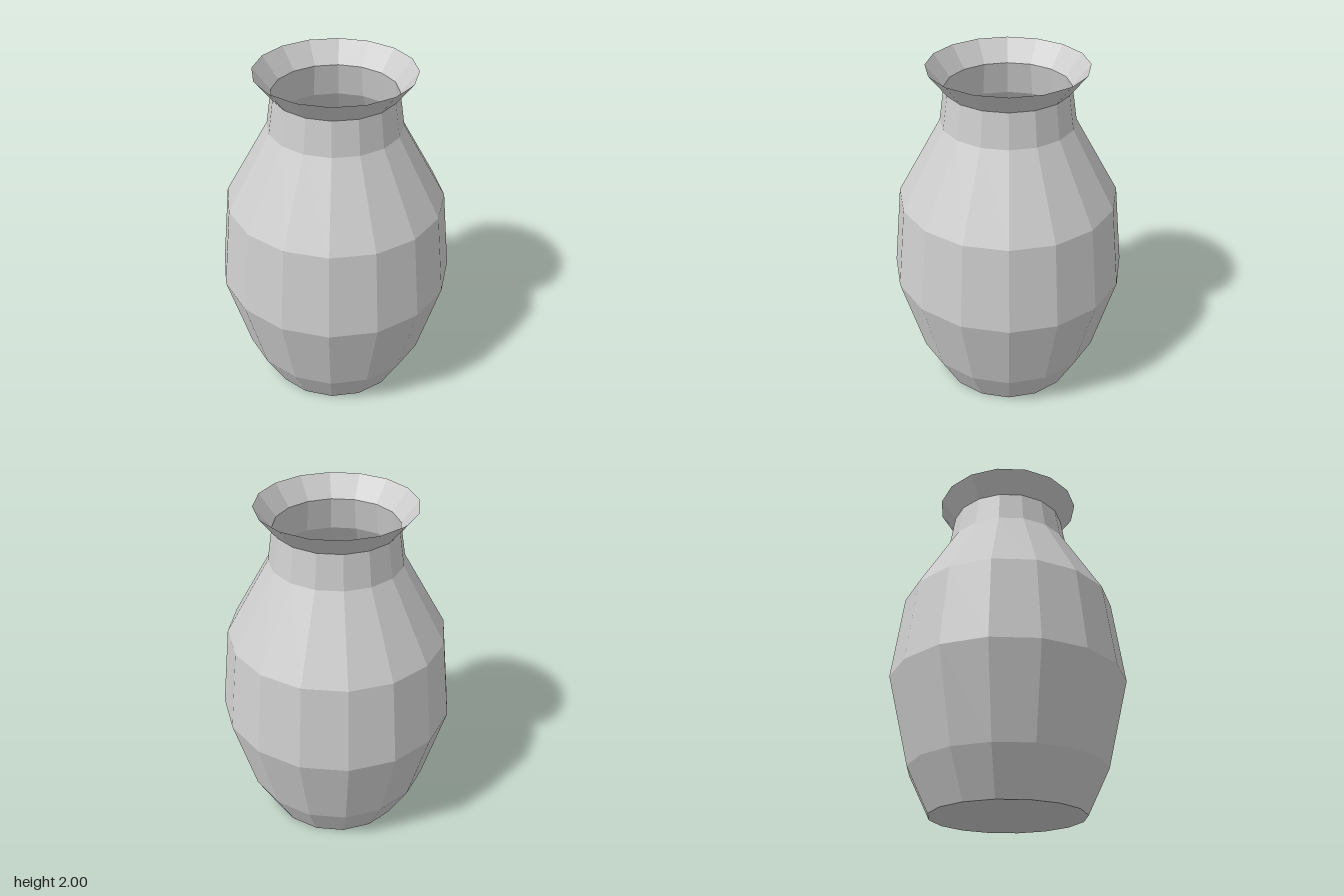
import * as THREE from 'three';

const SIDES = 16;

export function createModel() {
  const group = new THREE.Group();
  group.name = 'vase';

  const clay = new THREE.MeshStandardMaterial({ color: 0xcccccc, flatShading: true, side: THREE.DoubleSide });
  clay.name = 'light grey';

  // Each part is a thin, open shell turned around the y axis from [radius, height] points
  const addTurned = (name, profile) => {
    const points = profile.map(([r, y]) => new THREE.Vector2(r, y));
    const mesh = new THREE.Mesh(new THREE.LatheGeometry(points, SIDES), clay);
    mesh.name = name;
    group.add(mesh);
  };

  // Closed floor and bulging belly up to the shoulder
  addTurned('base', [[0, 0], [0.435, 0]]);
  addTurned('body', [[0.435, 0], [0.56, 0.25], [0.686, 0.755], [0.625, 1.25], [0.373, 1.69]]);

  // Narrow neck and flared, open lip
  addTurned('neck', [[0.373, 1.69], [0.343, 1.88]]);
  addTurned('lip', [[0.343, 1.88], [0.436, 2]]);

  return group;
}
